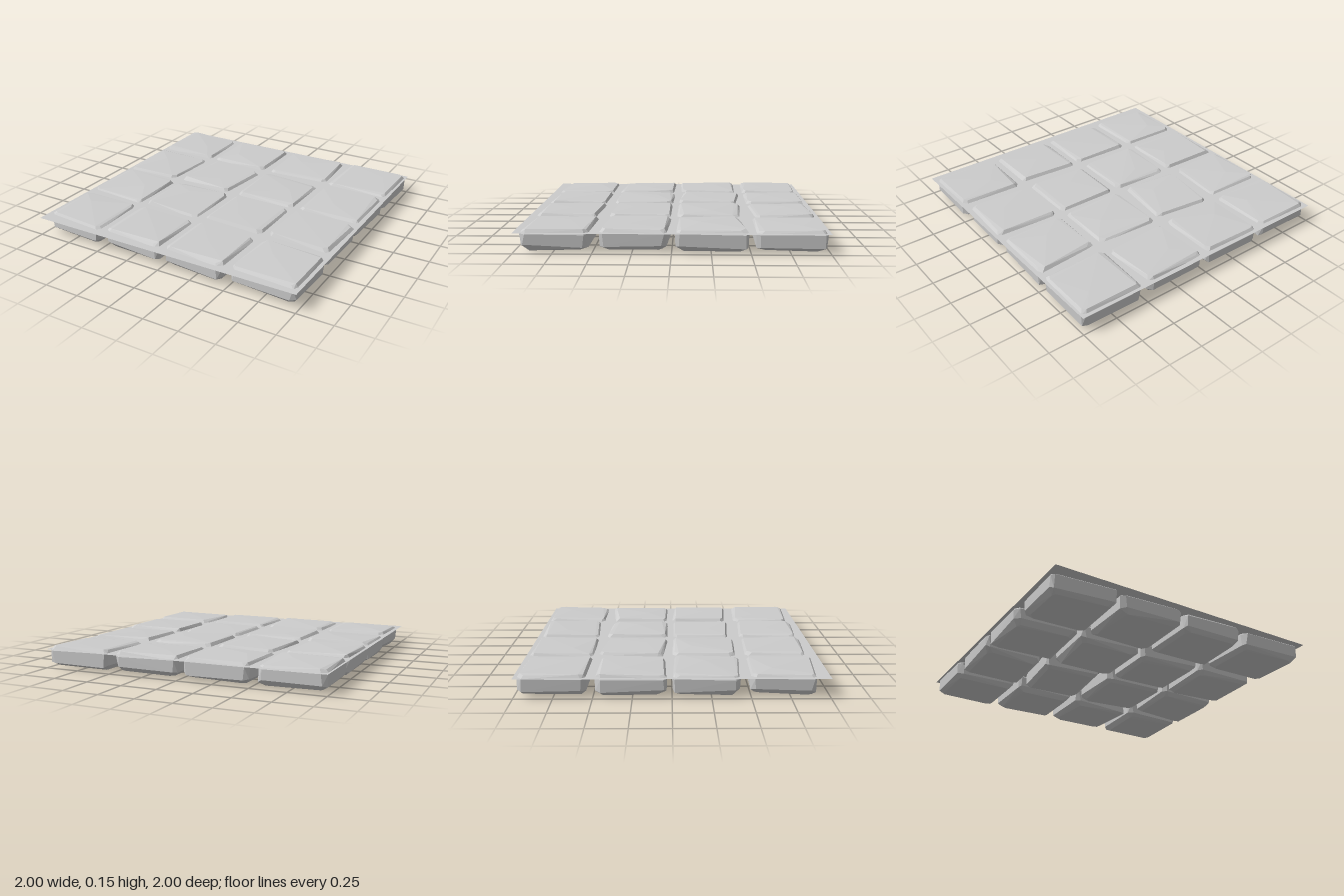
import * as THREE from 'three';
import { ConvexGeometry } from 'three/addons/geometries/ConvexGeometry.js';

// Outline corners of each stone as x, z: back left, back right, front right, front left
const OUTLINES = [
  [-.99, -.98, -.54, -.97, -.53, -.53, -.99, -.54], [-.49, -.98, -.03, -.97, -.04, -.53, -.5, -.53],
  [.01, -.97, .47, -.98, .49, -.56, .01, -.53], [.53, -.98, .99, -.98, .98, -.53, .51, -.53],
  [-.98, -.49, -.53, -.48, -.56, -.04, -.99, -.03], [-.46, -.51, -.03, -.46, -.08, -.02, -.51, -.06],
  [.01, -.49, .47, -.46, .47, -.02, 0, -.03], [.52, -.46, .98, -.49, .97, -.02, .51, -.03],
  [-.98, 0, -.52, .01, -.53, .46, -.99, .43], [-.48, 0, -.03, .01, -.04, .46, -.5, .44],
  [.01, .01, .47, .01, .47, .45, 0, .42], [.51, 0, .98, .03, .96, .46, .5, .43],
  [-.97, .49, -.52, .5, -.52, .95, -.98, .91], [-.48, .5, -.02, .51, -.03, .95, -.49, .92],
  [.01, .5, .47, .53, .46, .96, 0, .93], [.51, .5, .98, .52, .98, .96, .5, .93],
];

// Height, inset and height jitter of the rings, from bottom to top
const RINGS = [[.018, .035, .008], [.045, .004, .012], [.125, 0, .006], [.15, .02, .007]];

function seeded(seed) {
  return () => {
    seed = (seed * 16807) % 2147483647;
    return seed / 2147483647;
  };
}

// A rough stone: hull around chamfered, slightly uneven rings
function stoneGeometry(outline, random) {
  const corners = [];
  for (let i = 0; i < 8; i += 2) corners.push(new THREE.Vector2(outline[i], outline[i + 1]));
  const centre = corners.reduce((sum, c) => sum.add(c), new THREE.Vector2()).multiplyScalar(.25);
  const points = [];
  for (const [y, inset, rough] of RINGS) {
    corners.forEach((corner, i) => {
      for (const step of [1, 3]) {
        const cut = .03 + .06 * random();
        const p = corner.clone().lerp(corners[(i + step) % 4], cut);
        p.lerp(centre, inset / .23);
        points.push(new THREE.Vector3(p.x, y + (random() * 2 - 1) * rough, p.y));
      }
    });
  }
  // Shallow crown above and belly below
  const off = () => (random() - .5) * .2;
  points.push(new THREE.Vector3(centre.x + off(), .157, centre.y + off()));
  points.push(new THREE.Vector3(centre.x + off(), .003 + .006 * random(), centre.y + off()));
  return new ConvexGeometry(points);
}

export function createModel() {
  const model = new THREE.Group();
  model.name = 'stonePavement';

  const stoneGrey = new THREE.MeshStandardMaterial({ color: 0xcccccc, flatShading: true });
  stoneGrey.name = 'stoneGrey';
  const mortarGrey = new THREE.MeshStandardMaterial({ color: 0xcccccc, side: THREE.DoubleSide });
  mortarGrey.name = 'mortarGrey';

  // Mortar sheet between the stones
  const sheet = new THREE.Mesh(new THREE.PlaneGeometry(2, 2).rotateX(-Math.PI / 2), mortarGrey);
  sheet.name = 'mortarSheet';
  sheet.position.y = .133;
  model.add(sheet);

  // Four by four paving stones
  const random = seeded(4271);
  const stones = new THREE.Group();
  stones.name = 'pavingStones';
  OUTLINES.forEach((outline, i) => {
    const stone = new THREE.Mesh(stoneGeometry(outline, random), stoneGrey);
    stone.name = `pavingStone${i + 1}`;
    stones.add(stone);
  });
  model.add(stones);
  return model;
}
